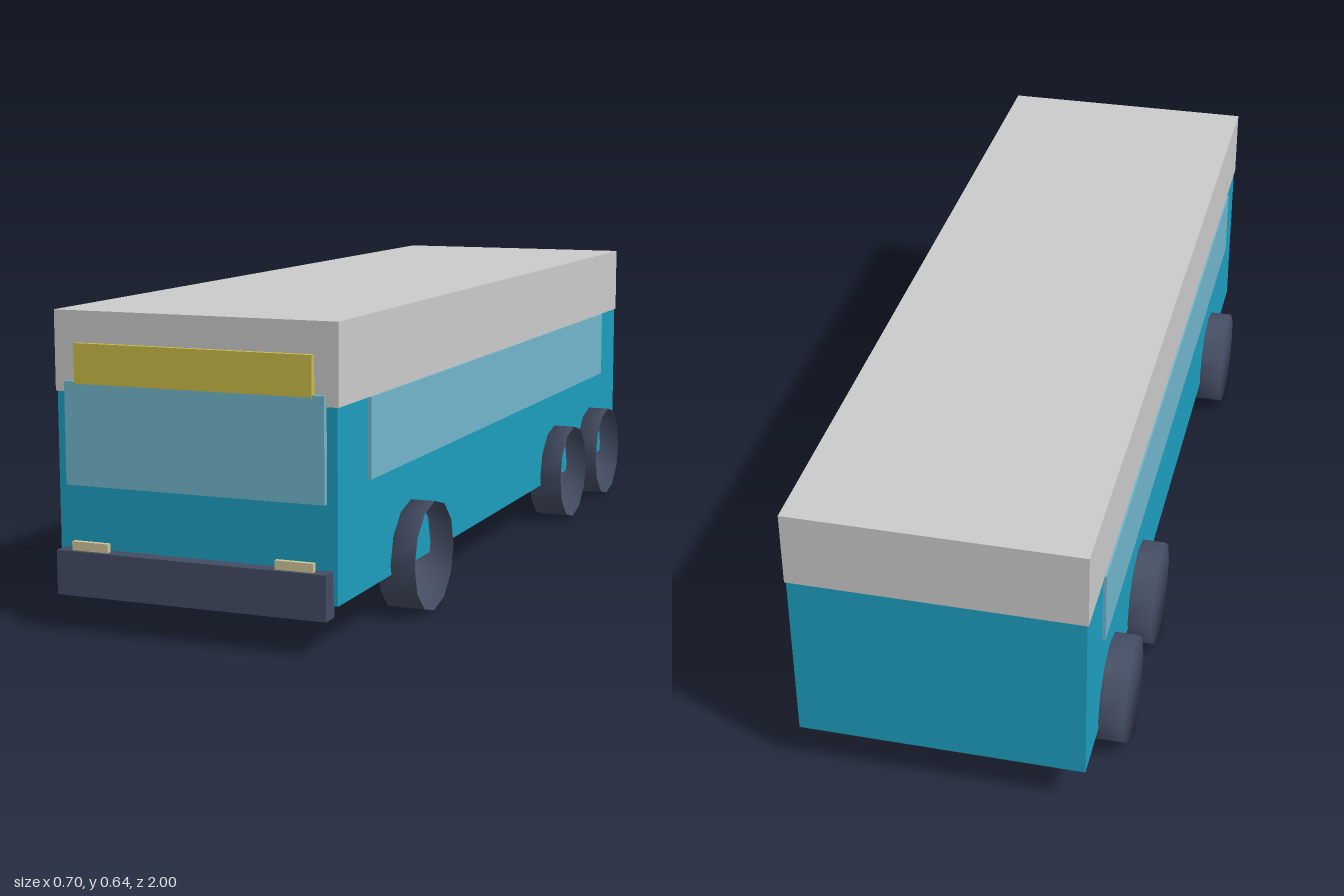
import * as THREE from 'three';

const paint = (color) => new THREE.MeshStandardMaterial({ color });

export function createModel() {
  const bus = new THREE.Group();
  bus.name = 'bus';

  const grey = paint(0xcccccc);
  const teal = paint(0x1e9fbf);
  const glass = paint(0x72b6cc);
  const yellow = paint(0xccbc48);
  const dark = paint(0x434c62);
  const lamp = paint(0xd1c69a);

  // Box given by its limits on each axis
  function box(name, material, [x0, x1], [y0, y1], [z0, z1]) {
    const mesh = new THREE.Mesh(new THREE.BoxGeometry(x1 - x0, y1 - y0, z1 - z0), material);
    mesh.position.set((x0 + x1) / 2, (y0 + y1) / 2, (z0 + z1) / 2);
    mesh.name = name;
    bus.add(mesh);
  }

  // Shell
  box('body', teal, [-0.3, 0.3], [0.095, 0.476], [-0.998, 0.965]);
  box('roof', grey, [-0.303, 0.303], [0.475, 0.636], [-1, 0.967]);

  // Front end
  box('windscreen', glass, [-0.278, 0.278], [0.29, 0.497], [0.955, 0.977]);
  box('destinationSign', yellow, [-0.254, 0.254], [0.493, 0.573], [0.955, 0.979]);
  box('bumper', dark, [-0.29, 0.29], [0.072, 0.162], [0.96, 1]);

  // Side windows and headlights, one per side
  for (const [side, s] of [['left', 1], ['right', -1]]) {
    const span = (a, b) => [a * s, b * s].sort((p, q) => p - q);
    box(side + 'SideWindow', glass, span(0.28, 0.307), [0.313, 0.475], [-0.845, 0.815]);
    box(side + 'Headlight', lamp, span(0.18, 0.26), [0.13, 0.18], [0.98, 0.991]);
  }

  // Wheels: smooth drums, closed on the -x end and open on the +x end
  const tyre = dark.clone();
  tyre.side = THREE.DoubleSide;
  const r = 0.115, h = 0.04;
  const profile = [[0, -h], [r, -h], [r, h]].map(([x, y]) => new THREE.Vector2(x, y));
  const wheelGeometry = new THREE.LatheGeometry(profile, 12).rotateZ(-Math.PI / 2);
  for (const [axle, z] of [['front', 0.582], ['middle', -0.433], ['rear', -0.757]]) {
    for (const [side, s] of [['Left', 1], ['Right', -1]]) {
      const wheel = new THREE.Mesh(wheelGeometry, tyre);
      wheel.position.set(0.312 * s, r, z);
      wheel.name = axle + side + 'Wheel';
      bus.add(wheel);
    }
  }

  return bus;
}
